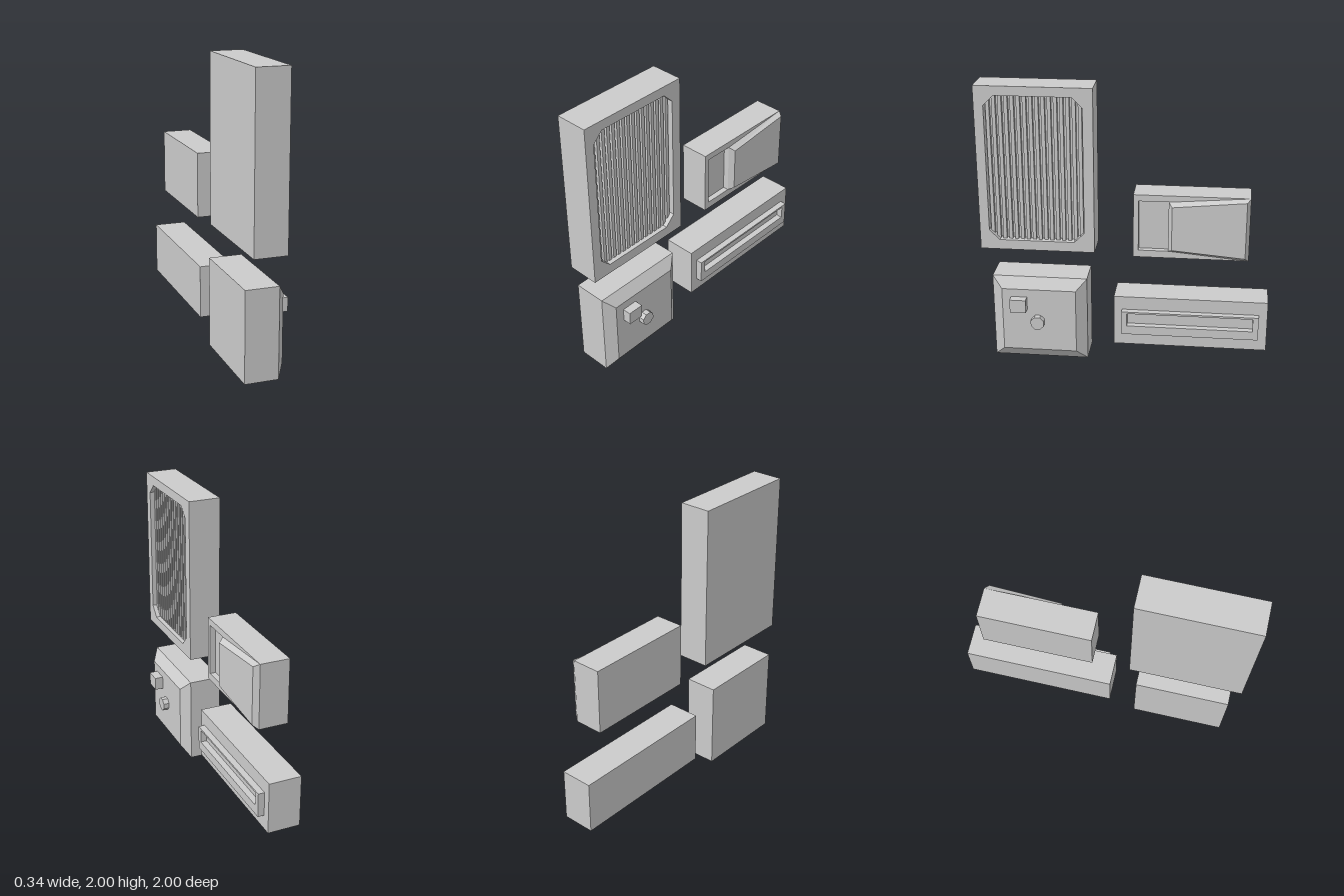
import * as THREE from 'three';

const material = new THREE.MeshStandardMaterial({ color: 0xcccccc, flatShading: true });

// Outlines are [u, y] pairs running counter-clockwise, where u = -z; everything extrudes along +x.
const rect = (u0, u1, y0, y1) => [[u0, y0], [u1, y0], [u1, y1], [u0, y1]];
const toVectors = (pts) => pts.map(([u, y]) => new THREE.Vector2(u, y));

function addMesh(parent, name, geometry) {
  const mesh = new THREE.Mesh(geometry, material);
  mesh.name = name;
  parent.add(mesh);
  return mesh;
}

function addPlate(parent, name, outline, x0, x1, hole) {
  const shape = new THREE.Shape(toVectors(outline));
  if (hole) shape.holes.push(new THREE.Path(toVectors(hole)));
  const geometry = new THREE.ExtrudeGeometry(shape, { depth: x1 - x0, bevelEnabled: false });
  geometry.rotateY(Math.PI / 2).translate(x0, 0, 0);
  return addMesh(parent, name, geometry);
}

// Solid block with a pocket sunk into its +x face.
function addPocketBlock(parent, name, outline, x0, floor, x1, pocket) {
  addPlate(parent, name + 'Back', outline, x0, floor);
  addPlate(parent, name + 'Rim', outline, floor, x1, pocket);
}

// Bevelled pad: four sloping sides from the base outline up to the top outline, plus the top face.
function addBevel(parent, name, base, top, x0, x1) {
  const positions = [];
  const b = base.map(([u, y]) => [x0, y, -u]);
  const t = top.map(([u, y]) => [x1, y, -u]);
  for (let i = 0; i < 4; i++) {
    const j = (i + 1) % 4;
    positions.push(...b[i], ...b[j], ...t[j], ...b[i], ...t[j], ...t[i]);
  }
  positions.push(...t[0], ...t[1], ...t[2], ...t[0], ...t[2], ...t[3]);
  const geometry = new THREE.BufferGeometry();
  geometry.setAttribute('position', new THREE.Float32BufferAttribute(positions, 3));
  geometry.computeVertexNormals();
  return addMesh(parent, name, geometry);
}

function addGroup(parent, name) {
  const group = new THREE.Group();
  group.name = name;
  parent.add(group);
  return group;
}

// Tall vent: block with a chamfered pocket full of upright slats
function buildVent(parent) {
  const vent = addGroup(parent, 'vent');
  const u0 = -0.935, u1 = -0.275, y0 = 0.91, y1 = 1.935, c = 0.07;
  const pocket = [
    [u0 + c, y0], [u1 - c, y0], [u1, y0 + c], [u1, y1 - c],
    [u1 - c, y1], [u0 + c, y1], [u0, y1 - c], [u0, y0 + c],
  ];
  addPocketBlock(vent, 'ventBody', rect(-1, -0.205, 0.84, 2), -0.145, 0.02, 0.08, pocket);
  const count = 16, pitch = (u1 - u0) / count;
  for (let i = 0; i < count; i++) {
    const a = u0 + pitch * (i + 0.2), b = a + pitch * 0.6;
    // Slats near the ends are shortened by the chamfered corners
    const inset = (u) => Math.max(0, c - (u - u0), c - (u1 - u));
    addPlate(vent, 'slat', [
      [a, y0 + inset(a)], [b, y0 + inset(b)], [b, y1 - inset(b)], [a, y1 - inset(a)],
    ], 0.02, 0.05);
  }
}

// Scoop: block with a small pocket beside a flared, bevelled pad
function buildScoop(parent) {
  const scoop = addGroup(parent, 'scoop');
  addPocketBlock(scoop, 'scoopBody', rect(0.06, 0.85, 0.815, 1.27), -0.145, 0.02, 0.06,
    rect(0.095, 0.3, 0.865, 1.225));
  addBevel(scoop, 'flaredPad',
    [[0.3, 0.865], [0.85, 0.815], [0.85, 1.27], [0.3, 1.225]],
    [[0.325, 0.887], [0.825, 0.845], [0.825, 1.25], [0.325, 1.2]], 0.06, 0.097);
}

// Control box: bevelled front with a square button and a round knob
function buildControlBox(parent) {
  const box = addGroup(parent, 'controlBox');
  const outline = rect(-0.935, -0.265, 0, 0.625);
  addPlate(box, 'controlBody', outline, -0.175, 0.055);
  addBevel(box, 'bevelledFront', outline, rect(-0.862, -0.34, 0.078, 0.548), 0.055, 0.11);
  addPlate(box, 'squareButton', rect(-0.798, -0.685, 0.395, 0.49), 0.1, 0.17);
  const knob = new THREE.CylinderGeometry(0.05, 0.05, 0.05, 8);
  knob.rotateY(Math.PI / 8).rotateZ(-Math.PI / 2).translate(0.127, 0.305, 0.61);
  addMesh(box, 'roundKnob', knob);
}

// Slot panel: long block with a raised plate and a sunken slot
function buildSlotPanel(parent) {
  const panel = addGroup(parent, 'slotPanel');
  addPlate(panel, 'panelBody', rect(-0.075, 1, 0.13, 0.5), -0.175, 0.055);
  addPlate(panel, 'slotFrame', rect(-0.018, 0.94, 0.23, 0.403), 0.055, 0.1,
    rect(0.02, 0.9, 0.295, 0.39));
}

export function createModel() {
  const model = new THREE.Group();
  model.name = 'wallPanelParts';
  buildVent(model);
  buildScoop(model);
  buildControlBox(model);
  buildSlotPanel(model);
  return model;
}
